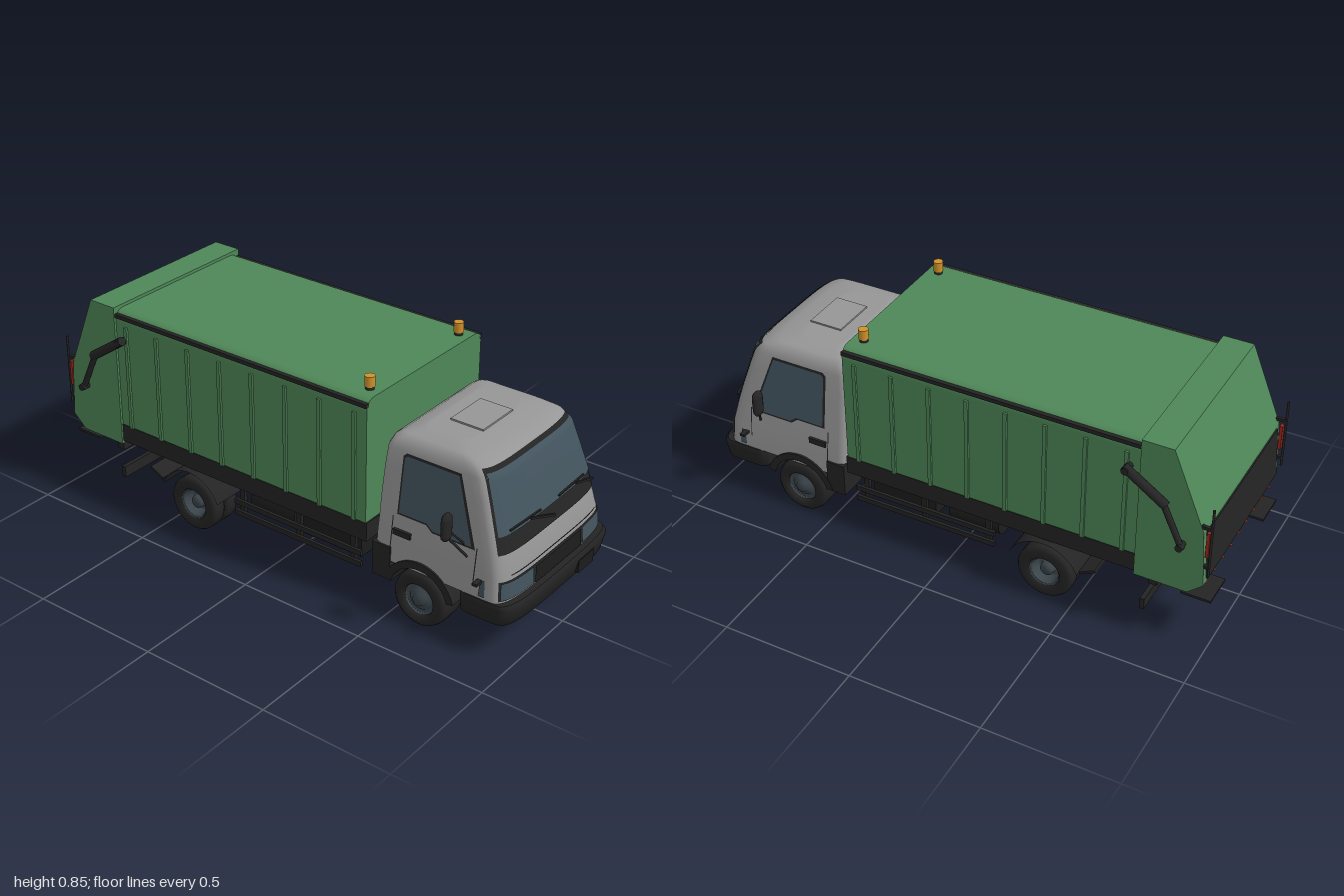
import * as THREE from 'three';

const mat = (name, color, side = THREE.FrontSide) => {
  const m = new THREE.MeshStandardMaterial({ color, side });
  m.name = name;
  return m;
};

export function createModel() {
  const green = mat('body green', 0x4f8758);
  const silver = mat('cab grey', 0x969696);
  const black = mat('black plastic', 0x242424, THREE.DoubleSide);
  const chassisMat = mat('chassis black', 0x1c1c1c);
  const glass = mat('tinted glass', 0x43545e, THREE.DoubleSide);
  const steel = mat('wheel steel', 0x3c464c);
  const orange = mat('beacon orange', 0xd0922a);
  const red = mat('warning red', 0xa02820);

  const truck = new THREE.Group();
  truck.name = 'refuseTruck';
  const add = (name, geo, m, parent = truck) => {
    const mesh = new THREE.Mesh(geo, m);
    mesh.name = name;
    parent.add(mesh);
    return mesh;
  };
  // Box given by its limits on each axis
  const box = (name, m, x0, x1, y0, y1, z0, z1, parent) => {
    const b = add(name, new THREE.BoxGeometry(x1 - x0, y1 - y0, z1 - z0), m, parent);
    b.position.set((x0 + x1) / 2, (y0 + y1) / 2, (z0 + z1) / 2);
    return b;
  };
  // Square or round bar between two points
  const beam = (name, m, a, b, w, h = w, round = false, parent = truck) => {
    const p = new THREE.Vector3(...a), q = new THREE.Vector3(...b), len = p.distanceTo(q);
    const geo = round ? new THREE.CylinderGeometry(w / 2, w / 2, len, 14).rotateX(Math.PI / 2) : new THREE.BoxGeometry(w, h, len);
    const mesh = add(name, geo, m, parent);
    mesh.position.copy(p).add(q).multiplyScalar(0.5);
    mesh.lookAt(q);
    return mesh;
  };
  // Parts built on +z, repeated on -z
  const pair = (name, build) => {
    const g = new THREE.Group();
    g.name = name;
    build(g);
    const other = g.clone();
    other.scale.z = -1;
    truck.add(g, other);
  };
  const polygon = pts => new THREE.Shape(pts.map(p => new THREE.Vector2(...p)));

  // ---- Bowed-front loft: stations of [y, back x, front x, half width]
  const front = (xf, s) => xf - 0.08 * (1 - Math.pow(Math.max(0, 1 - s ** 4), 0.25));
  const N = 36;
  const ring = ([y, xb, xf, w]) => {
    const pts = [];
    for (let i = 0; i <= N; i++) {
      const s = Math.sin((i / N - 0.5) * Math.PI);
      pts.push([front(xf, s), y, s * w]);
    }
    const back = [[0.03, 0], [0.009, 0.009], [0, 0.03]];
    back.forEach(([x, z]) => pts.push([xb + x, y, w - z]));
    back.reverse().forEach(([x, z]) => pts.push([xb + x, y, z - w]));
    return pts;
  };
  const loft = stations => {
    const rows = [stations[0], ...stations, stations.at(-1)].map(ring);
    const n = rows[0].length, pos = rows.flat(2), idx = [];
    for (let j = 1; j < rows.length - 2; j++)
      for (let i = 0; i < n; i++) {
        const a = j * n + i, b = j * n + (i + 1) % n;
        idx.push(a, a + n, b, b, a + n, b + n);
      }
    [stations[0], stations.at(-1)].forEach(([y, xb, xf], k) => {
      const c = pos.length / 3, o = k ? (rows.length - 1) * n : 0;
      pos.push((xb + xf) / 2, y, 0);
      for (let i = 0; i < n; i++) {
        const p = o + i, q = o + (i + 1) % n;
        idx.push(c, ...(k ? [q, p] : [p, q]));
      }
    });
    const geo = new THREE.BufferGeometry();
    geo.setAttribute('position', new THREE.Float32BufferAttribute(pos, 3));
    geo.setIndex(idx);
    geo.computeVertexNormals();
    return geo;
  };

  // ---- Cab shell
  const cab = [
    [0.215, 0.43, 0.962, 0.328], [0.30, 0.43, 0.955, 0.322], [0.38, 0.43, 0.935, 0.31],
    [0.44, 0.43, 0.917, 0.303], [0.55, 0.432, 0.88, 0.287], [0.625, 0.437, 0.853, 0.276],
    [0.655, 0.45, 0.825, 0.262], [0.672, 0.475, 0.77, 0.24], [0.68, 0.52, 0.70, 0.18]];
  const at = (y, k) => {
    let i = 0;
    while (i < cab.length - 2 && y > cab[i + 1][0]) i++;
    return THREE.MathUtils.mapLinear(y, cab[i][0], cab[i + 1][0], cab[i][k], cab[i + 1][k]);
  };
  add('cabShell', loft(cab), silver);
  add('frontBumper', loft([[0.12, 0.80, 0.955, 0.30], [0.14, 0.78, 0.985, 0.33], [0.2, 0.78, 0.997, 0.336], [0.215, 0.78, 0.985, 0.332]]), black);
  // Thin panel following the cab front
  const patch = (name, m, y0, y1, s0, s1, off) => {
    const geo = new THREE.PlaneGeometry(1, 1, 32, 16), p = geo.attributes.position;
    for (let i = 0; i < p.count; i++) {
      const y = y0 + (y1 - y0) * (p.getY(i) + 0.5), s = s0 + (s1 - s0) * (0.5 - p.getX(i));
      p.setXYZ(i, front(at(y, 2), s) + off, y, s * at(y, 3));
    }
    geo.computeVertexNormals();
    add(name, geo, m);
  };
  patch('windscreenFrame', black, 0.38, 0.65, -0.96, 0.96, 0.004);
  patch('windscreen', glass, 0.44, 0.638, -0.94, 0.94, 0.007);
  patch('panelSeam', black, 0.304, 0.308, -0.83, 0.83, 0.003);
  patch('lampSurround', black, 0.222, 0.292, -0.97, 0.97, 0.003);
  patch('grille', chassisMat, 0.225, 0.286, -0.45, 0.45, 0.008);
  patch('headlamp', glass, 0.226, 0.288, 0.48, 0.96, 0.007);
  patch('headlamp', glass, 0.226, 0.288, -0.96, -0.48, 0.007);
  box('numberPlate', chassisMat, 0.985, 0.999, 0.15, 0.2, -0.185, -0.085);
  box('roofHatch', silver, 0.57, 0.70, 0.67, 0.686, -0.09, 0.09);

  // Wipers
  const onGlass = (y, z) => [front(at(y, 2), z / at(y, 3)) + 0.012, y, z];
  for (const dz of [0, -0.285]) {
    beam('wiperBlade', black, onGlass(0.453, 0.24 + dz), onGlass(0.453, 0.07 + dz), 0.006);
    beam('wiperArm', black, onGlass(0.45, 0.13 + dz), onGlass(0.405, 0 + dz), 0.008);
  }

  pair('cabSide', g => {
    // Side glass laid on the sloping door
    const pane = (name, m, pts, off) => {
      const geo = new THREE.ShapeGeometry(polygon(pts)), p = geo.attributes.position;
      for (let i = 0; i < p.count; i++) p.setZ(i, at(p.getY(i), 3) + off);
      geo.computeVertexNormals();
      add(name, geo, m, g);
    };
    pane('doorWindowFrame', black, [[0.517, 0.40], [0.635, 0.40], [0.66, 0.38], [0.83, 0.38], [0.745, 0.622], [0.53, 0.622], [0.517, 0.61]], 0.003);
    pane('doorWindow', glass, [[0.525, 0.408], [0.638, 0.408], [0.663, 0.388], [0.817, 0.388], [0.74, 0.614], [0.535, 0.614], [0.525, 0.605]], 0.006);
    pane('sideLamp', glass, [[0.86, 0.226], [0.886, 0.226], [0.88, 0.288], [0.865, 0.288]], 0.004);
    for (const x of [0.5, 0.835]) pane('doorSeam', black, [[x, 0.27], [x + 0.004, 0.27], [x + 0.004, 0.39], [x, 0.39]], 0.003);
    box('doorHandle', black, 0.51, 0.58, 0.325, 0.347, 0.31, 0.325, g);
    // Wheel arch lip and step
    const lip = new THREE.Shape();
    lip.absarc(0.625, 0.11, 0.145, 0.25, Math.PI - 0.25, false);
    lip.absarc(0.625, 0.11, 0.118, Math.PI - 0.25, 0.25, true);
    add('wheelArch', new THREE.ExtrudeGeometry(lip, { depth: 0.13, bevelEnabled: false, curveSegments: 24 }), black, g).position.z = 0.203;
    box('cabStep', black, 0.43, 0.505, 0.14, 0.27, 0.22, 0.331, g);
    box('turnLamp', black, 0.85, 0.87, 0.275, 0.285, 0.32, 0.356, g);
    // Mirror
    const mirror = add('mirror', new THREE.CapsuleGeometry(0.026, 0.054, 4, 12).scale(0.6, 1, 1), black, g);
    mirror.position.set(0.757, 0.472, 0.375);
    beam('mirrorArm', black, [0.76, 0.43, 0.37], [0.80, 0.345, 0.312], 0.009, 0.009, true, g);
    beam('mirrorBrace', black, [0.76, 0.45, 0.36], [0.79, 0.38, 0.305], 0.007, 0.007, true, g);
  });

  // ---- Refuse body with rounded roof edges
  const W = 0.336, R = 0.045, section = new THREE.Shape();
  section.moveTo(-W, 0.33).lineTo(W, 0.33).lineTo(W, 0.80 - R).quadraticCurveTo(W, 0.80, W - R, 0.80);
  section.lineTo(R - W, 0.80).quadraticCurveTo(-W, 0.80, -W, 0.80 - R).lineTo(-W, 0.33);
  const hull = new THREE.ExtrudeGeometry(section, { depth: 1.14, bevelEnabled: false }).rotateY(Math.PI / 2);
  add('refuseBody', hull, green).position.x = -0.735;
  box('bodySill', black, -0.73, 0.41, 0.26, 0.332, -0.338, 0.338);
  // Tailgate hopper
  const tail = polygon([[-0.73, 0.25], [-0.73, 0.812], [-0.845, 0.812], [-0.965, 0.52], [-0.98, 0.30], [-0.925, 0.25]]);
  add('tailgate', new THREE.ExtrudeGeometry(tail, { depth: 0.69, bevelEnabled: false }), green).position.z = -0.345;
  beam('hopperPanel', black, [-0.966, 0.51, 0], [-0.98, 0.315, 0], 0.64, 0.01);
  for (let i = 0; i < 9; i++) {
    const z = -0.32 + i * 0.072;
    beam('warningStripe', red, [-0.978, 0.297, z], [-0.929, 0.253, z + 0.035], 0.02, 0.008);
  }

  pair('bodySide', g => {
    box('roofStripe', black, -0.73, 0.405, 0.772, 0.787, 0.325, 0.342, g);
    for (let i = 0; i < 8; i++) {
      const x = -0.68 + i * 0.148;
      box('rib', green, x - 0.007, x + 0.007, 0.33, 0.745, 0.33, 0.344, g);
    }
    // Lift ram
    beam('ramBarrel', black, [-0.68, 0.70, 0.362], [-0.835, 0.595, 0.362], 0.034, 0.034, true, g);
    beam('ramRod', black, [-0.825, 0.60, 0.362], [-0.9, 0.44, 0.362], 0.022, 0.022, true, g);
    for (const [x, y] of [[-0.69, 0.692], [-0.895, 0.45]]) beam('ramPin', black, [x, y, 0.33], [x, y, 0.38], 0.026, 0.026, true, g);
    // Grab rail, rear step and lamps
    beam('grabRail', black, [-0.992, 0.345, 0.34], [-0.992, 0.62, 0.34], 0.009, 0.009, true, g);
    for (const y of [0.38, 0.54]) beam('railBracket', black, [-0.992, y, 0.34], [-0.955, y, 0.338], 0.012, 0.012, false, g);
    box('sideMarker', red, -0.986, -0.975, 0.42, 0.52, 0.325, 0.343, g);
    box('rearStep', black, -1, -0.89, 0.203, 0.212, 0.18, 0.31, g);
    box('stepBracket', black, -0.91, -0.89, 0.205, 0.255, 0.23, 0.26, g);
    // Beacon
    const base = add('beaconBase', new THREE.CylinderGeometry(0.014, 0.016, 0.014, 20), black, g);
    base.position.set(0.36, 0.805, 0.26);
    const lamp = add('beacon', new THREE.CylinderGeometry(0.018, 0.018, 0.038, 20), orange, g);
    lamp.position.set(0.36, 0.83, 0.26);
  });

  // ---- Wheels
  const lathe = pts => new THREE.LatheGeometry(pts.map(p => new THREE.Vector2(...p)), 36).rotateX(Math.PI / 2);
  const tyre = (w, z, x, g) => {
    const h = w / 2;
    add('tyre', lathe([[0.062, -h], [0.09, -h], [0.102, -h * 0.85], [0.107, -h * 0.6], [0.107, h * 0.6], [0.102, h * 0.85], [0.09, h], [0.062, h], [0.06, h * 0.7], [0.06, -h * 0.7], [0.062, -h]]), black, g).position.set(x, 0.107, z);
  };
  pair('frontWheel', g => {
    tyre(0.125, 0.27, 0.625, g);
    add('rim', lathe([[0, -0.04], [0.061, -0.04], [0.061, 0.05], [0.05, 0.035], [0.04, 0.05], [0.025, 0.052], [0.022, 0.062], [0, 0.064]]), steel, g).position.set(0.625, 0.107, 0.27);
  });
  pair('rearWheel', g => {
    tyre(0.064, 0.235, -0.39, g);
    tyre(0.064, 0.304, -0.39, g);
    add('rim', lathe([[0, -0.09], [0.061, -0.09], [0.061, 0.025], [0.052, 0.02], [0.045, -0.015], [0.028, -0.015], [0.024, 0.012], [0, 0.014]]), steel, g).position.set(-0.39, 0.107, 0.304);
    const guard = new THREE.CylinderGeometry(0.142, 0.142, 0.15, 24, 1, true, -1.2, 2.4).rotateX(-Math.PI / 2);
    add('mudguard', guard, black, g).position.set(-0.39, 0.107, 0.275);
    beam('mudguardTail', black, [-0.53, 0.17, 0.275], [-0.59, 0.20, 0.275], 0.14, 0.01, false, g);
  });

  // ---- Chassis and underside
  pair('chassisSide', g => {
    box('frameRail', chassisMat, -0.82, 0.88, 0.185, 0.262, 0.09, 0.125, g);
    beam('rearSpring', chassisMat, [-0.57, 0.19, 0.15], [-0.39, 0.14, 0.15], 0.03, 0.02, false, g);
    beam('rearSpring', chassisMat, [-0.39, 0.14, 0.15], [-0.2, 0.19, 0.15], 0.03, 0.02, false, g);
    beam('frontSpring', chassisMat, [0.46, 0.18, 0.15], [0.8, 0.16, 0.15], 0.03, 0.02, false, g);
    // Side guard rails
    for (const y of [0.15, 0.195]) box('sideGuard', black, -0.19, 0.38, y - 0.01, y + 0.01, 0.318, 0.33, g);
    for (const x of [-0.16, 0.1, 0.34]) box('guardPost', black, x - 0.01, x + 0.01, 0.14, 0.27, 0.305, 0.32, g);
    box('equipmentBox', chassisMat, 0.08, 0.34, 0.135, 0.25, 0.14, 0.27, g);
    box('underrunPost', chassisMat, -0.765, -0.75, 0.09, 0.25, 0.12, 0.15, g);
    box('rearLamp', red, -0.81, -0.80, 0.2, 0.235, 0.2, 0.29, g);
    box('rearLampHousing', black, -0.80, -0.77, 0.19, 0.25, 0.18, 0.30, g);
    box('cabMount', chassisMat, 0.39, 0.45, 0.25, 0.42, 0.08, 0.12, g);
  });
  for (const x of [-0.79, -0.6, -0.2, 0.05, 0.4, 0.8]) box('crossMember', chassisMat, x - 0.02, x + 0.02, 0.19, 0.255, -0.11, 0.11);
  for (const x of [-0.39, 0.625]) beam('axle', chassisMat, [x, 0.107, -0.28], [x, 0.107, 0.28], 0.045, 0.045, true);
  add('differential', new THREE.SphereGeometry(0.055, 20, 14), chassisMat).position.set(-0.39, 0.12, 0);
  beam('driveShaft', chassisMat, [-0.36, 0.125, 0], [0.45, 0.18, 0], 0.03, 0.03, true);
  box('engine', chassisMat, 0.45, 0.83, 0.11, 0.23, -0.085, 0.085);
  box('underrunBar', black, -0.767, -0.75, 0.085, 0.13, -0.32, 0.32);
  beam('airTank', chassisMat, [-0.17, 0.17, 0.2], [0.03, 0.17, 0.2], 0.12, 0.12, true);
  beam('fuelTank', chassisMat, [-0.17, 0.17, -0.2], [0.03, 0.17, -0.2], 0.12, 0.12, true);
  return truck;
}
